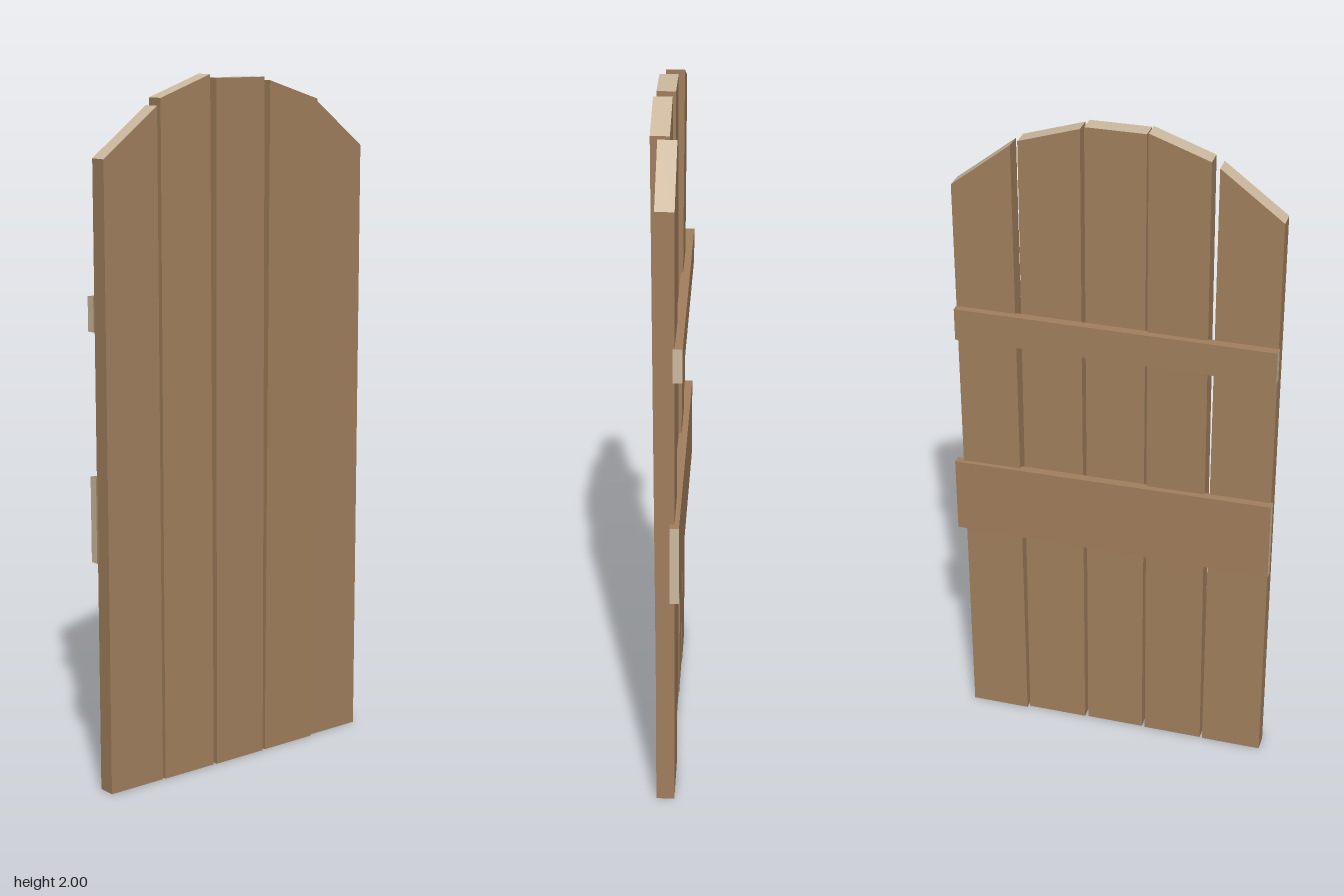
import * as THREE from 'three';

// A board is a box whose corners are moved by a rule:
// place(sx, sy, sz) gets the corner as 0/1 flags and returns its position.
function board(name, materials, place) {
  const geometry = new THREE.BoxGeometry(1, 1, 1);
  const p = geometry.attributes.position;
  for (let i = 0; i < p.count; i++) {
    const [x, y, z] = place(p.getX(i) + 0.5, p.getY(i) + 0.5, p.getZ(i) + 0.5);
    p.setXYZ(i, x, y, z);
  }
  geometry.computeVertexNormals();
  const mesh = new THREE.Mesh(geometry, materials);
  mesh.name = name;
  return mesh;
}

const lerp = THREE.MathUtils.lerp;

export function createModel() {
  const wood = new THREE.MeshStandardMaterial({ color: 0xa17f5d });
  wood.name = 'wood';
  const endGrain = new THREE.MeshStandardMaterial({ color: 0xcdb99f });
  endGrain.name = 'end grain';

  const door = new THREE.Group();
  door.name = 'plankDoor';

  // Upright planks: x at the bottom, x at the top, height of each top corner,
  // back z at the bottom and top (slight lean)
  const planks = [
    { bottom: [-0.472, -0.292], top: [-0.472, -0.294], height: [1.785, 1.92], back: [-0.02, -0.02] },
    { bottom: [-0.284, -0.107], top: [-0.274, -0.104], height: [1.94, 2.0], back: [-0.018, -0.031] },
    { bottom: [-0.097, 0.078], top: [-0.095, 0.076], height: [1.99, 1.99], back: [-0.016, -0.014] },
    { bottom: [0.088, 0.27], top: [0.09, 0.265], height: [1.98, 1.925], back: [-0.018, -0.006] },
    { bottom: [0.276, 0.452], top: [0.279, 0.452], height: [1.92, 1.785], back: [-0.026, -0.026] },
  ];
  const plankSkin = [wood, wood, endGrain, endGrain, wood, wood];
  planks.forEach((k, i) => {
    door.add(board('plank' + (i + 1), plankSkin, (sx, sy, sz) => [
      sy ? k.top[sx] : k.bottom[sx],
      sy * k.height[sx],
      k.back[sy] + sz * 0.052,
    ]));
  });

  // Cross battens on the back, slightly askew: each pair is its -x and +x end
  const battens = [
    { name: 'upperBatten', x: [-0.475, 0.453], low: [1.315, 1.315], high: [1.412, 1.412], back: [-0.047, -0.047] },
    { name: 'lowerBatten', x: [-0.477, 0.475], low: [0.666, 0.664], high: [0.91, 0.897], back: [-0.043, -0.039] },
  ];
  const battenSkin = [endGrain, endGrain, wood, wood, wood, wood];
  for (const b of battens) {
    door.add(board(b.name, battenSkin, (sx, sy, sz) => [
      b.x[sx],
      lerp(b.low[sx], b.high[sx], sy),
      b.back[sx] + sz * 0.026,
    ]));
  }
  return door;
}
